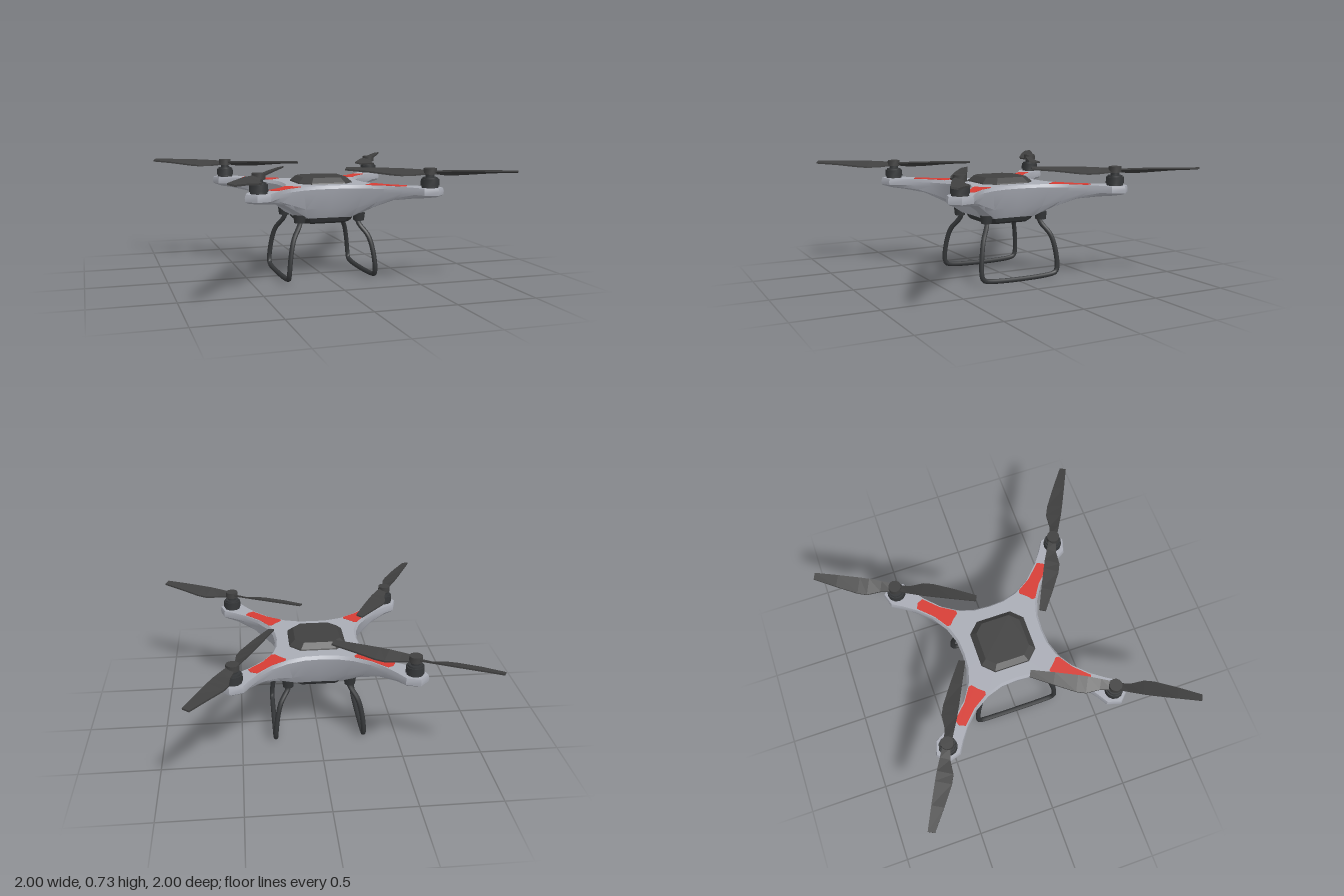
import * as THREE from 'three';
import { toCreasedNormals } from 'three/addons/utils/BufferGeometryUtils.js';

const mat = (name, color) => {
  const m = new THREE.MeshStandardMaterial({ color });
  m.name = name;
  return m;
};

function mesh(name, geometry, material, parent) {
  const m = new THREE.Mesh(geometry, material);
  m.name = name;
  parent.add(m);
  return m;
}

function fromTriangles(tris) {
  const g = new THREE.BufferGeometry();
  g.setAttribute('position', new THREE.Float32BufferAttribute(tris.flat(2), 3));
  g.computeVertexNormals();
  return g;
}

// Side walls between successive rings of points
function walls(rings, tris) {
  for (let k = 0; k + 1 < rings.length; k++) {
    const a = rings[k], b = rings[k + 1];
    for (let i = 0; i < a.length; i++) {
      const j = (i + 1) % a.length;
      tris.push([a[i], a[j], b[j]], [a[i], b[j], b[i]]);
    }
  }
}

// Closed, flat-faced loft with convex end caps
function loft(rings) {
  const tris = [];
  walls(rings, tris);
  const a = rings[0], b = rings[rings.length - 1];
  for (let i = 1; i + 1 < a.length; i++) tris.push([a[0], a[i + 1], a[i]], [b[0], b[i], b[i + 1]]);
  return fromTriangles(tris);
}

// Square with cut corners, at height y
function octagon(h, c, y) {
  const k = h - c;
  return [[h, k], [h, -k], [k, -h], [-k, -h], [-h, -k], [-h, k], [-k, h], [k, h]].map(([x, z]) => [x, y, z]);
}

// Four-armed hull: one eighth of the plan, mirrored and turned
function hullGeometry() {
  // rim x, rim z, underside x, underside z, underside y
  const eighth = [
    [0, 0.265, 0, 0.2, 0.395], [0.1, 0.272, 0.075, 0.2, 0.395],
    [0.2, 0.305, 0.14, 0.205, 0.395], [0.3, 0.368, 0.24, 0.275, 0.455],
    [0.385, 0.455, 0.345, 0.385, 0.515], [0.435, 0.53, 0.44, 0.49, 0.535],
    [0.47, 0.59, 0.49, 0.565, 0.545], [0.555, 0.615, 0.545, 0.585, 0.55],
  ];
  const quarter = [...eighth, ...eighth.slice(1).reverse().map(([a, b, c, d, y]) => [b, a, d, c, y])];
  const ring = (t, height) => {
    const out = [];
    for (let q = 0; q < 4; q++) {
      for (const [rx, rz, bx, bz, by] of quarter) {
        let x = rx + (bx - rx) * t, z = rz + (bz - rz) * t;
        for (let n = 0; n < q; n++) [x, z] = [z, -x];
        out.push([x, height(by), z]);
      }
    }
    return out;
  };
  const rings = [
    ring(1, (y) => y),
    ring(0.5, (y) => 0.56 + (y - 0.56) * 0.6),
    ring(0.08, () => 0.562),
    ring(0, () => 0.585),
    ring(0.2, () => 0.605),
  ];
  const tris = [];
  walls(rings, tris);
  // Top and bottom: a strip along each arm and a fan in the middle
  const cap = (r, flip) => {
    const add = (a, b, c) => tris.push(flip ? [a, c, b] : [a, b, c]);
    const centre = [0, r[0][1], 0], loop = [];
    for (let q = 0; q < 4; q++) {
      const p = (j) => r[q * 15 + j];
      for (let j = 2; j < 7; j++) {
        add(p(j), p(j + 1), p(14 - j));
        add(p(j), p(14 - j), p(15 - j));
      }
      loop.push(p(0), p(1), p(2), p(13), p(14));
    }
    loop.forEach((v, i) => add(centre, v, loop[(i + 1) % loop.length]));
  };
  cap(rings[0], true);
  cap(rings[4], false);
  return toCreasedNormals(fromTriangles(tris), 0.42);
}

// Twisted blade: radius, edge z and edge y on both sides
function bladeGeometry() {
  const sections = [
    [0.02, -0.024, 0.024, 0.69, 0.706], [0.09, -0.032, 0.028, 0.682, 0.709],
    [0.17, -0.064, 0.032, 0.681, 0.712], [0.23, -0.065, 0.032, 0.685, 0.713],
    [0.37, -0.044, 0.029, 0.698, 0.714], [0.518, -0.017, 0.024, 0.706, 0.714],
  ];
  const t = 0.005;
  return loft(sections.map(([r, za, zb, ya, yb]) =>
    [[r, ya + t, za], [r, yb + t, zb], [r, yb - t, zb], [r, ya - t, za]]));
}

export function createModel() {
  const grey = mat('body grey', 0xa9acb5);
  const charcoal = mat('charcoal', 0x404040);
  const black = mat('frame black', 0x343638);
  const red = mat('marking red', 0xd63c34);
  const model = new THREE.Group();
  model.name = 'quadcopter';

  mesh('hull', hullGeometry(), grey, model);
  mesh('topHatch', loft([octagon(0.18, 0.068, 0.6), octagon(0.175, 0.066, 0.613), octagon(0.142, 0.052, 0.643)]), charcoal, model);
  mesh('bellyPlate', loft([octagon(0.155, 0.05, 0.353), octagon(0.17, 0.055, 0.365), octagon(0.185, 0.055, 0.398)]), black, model);

  // Arm marking outline, flared to the hull edge with a scalloped inner end
  const marking = new THREE.Shape([
    [0.39, 0.442], [0.425, 0.427], [0.442, 0.39], [0.353, 0.302], [0.296, 0.213], [0.275, 0.21], [0.262, 0.226],
    [0.245, 0.245], [0.226, 0.262], [0.21, 0.275], [0.213, 0.296], [0.302, 0.353],
  ].map(([x, z]) => new THREE.Vector2(x, z)));
  const markingGeometry = new THREE.ExtrudeGeometry(marking, { depth: 0.006, bevelEnabled: false });
  markingGeometry.rotateX(Math.PI / 2);
  const blade = bladeGeometry();

  // Each arm carries a marking, a motor and a two-bladed propeller
  for (let q = 0; q < 4; q++) {
    const arm = new THREE.Group();
    arm.name = 'arm' + (q + 1);
    arm.rotation.y = -q * Math.PI / 2;
    model.add(arm);
    mesh('armMarking', markingGeometry, red, arm).position.y = 0.607;

    const rotor = new THREE.Group();
    rotor.name = 'rotor';
    rotor.position.set(0.533, 0, 0.53);
    rotor.rotation.y = -0.478;
    arm.add(rotor);
    // radius, bottom, top
    const stack = [['motorBase', 0.052, 0.6, 0.618], ['motor', 0.057, 0.618, 0.658],
      ['motorCap', 0.047, 0.658, 0.668], ['shaft', 0.028, 0.668, 0.69], ['hub', 0.041, 0.686, 0.723]];
    for (const [name, r, y0, y1] of stack) {
      const g = toCreasedNormals(new THREE.CylinderGeometry(r * 0.97, r, y1 - y0, 12), 0.6);
      mesh(name, g, name === 'hub' ? charcoal : black, rotor).position.y = (y0 + y1) / 2;
    }
    for (const turn of [0, Math.PI]) mesh('propellerBlade', blade, charcoal, rotor).rotation.y = turn;
  }

  // Landing gear: one bent tube on each side
  const half = [[0.185, 0.385, 0.185], [0.2, 0.345, 0.197], [0.245, 0.275, 0.24], [0.268, 0.19, 0.262],
    [0.283, 0.07, 0.272], [0.284, 0.035, 0.262], [0.284, 0.022, 0.235]];
  for (const s of [1, -1]) {
    const front = half.map(([x, y, z]) => new THREE.Vector3(s * x, y, z));
    const back = half.map(([x, y, z]) => new THREE.Vector3(s * x, y, -z)).reverse();
    const path = new THREE.CatmullRomCurve3([...front, ...back], false, 'centripetal');
    mesh(s > 0 ? 'leftSkid' : 'rightSkid', new THREE.TubeGeometry(path, 72, 0.016, 8), black, model);
    for (const e of [1, -1]) {
      const clamp = mesh('skidClamp', toCreasedNormals(new THREE.CylinderGeometry(0.04, 0.034, 0.05, 10), 0.7), black, model);
      clamp.position.set(s * 0.196, 0.395, e * 0.196);
    }
  }
  return model;
}
